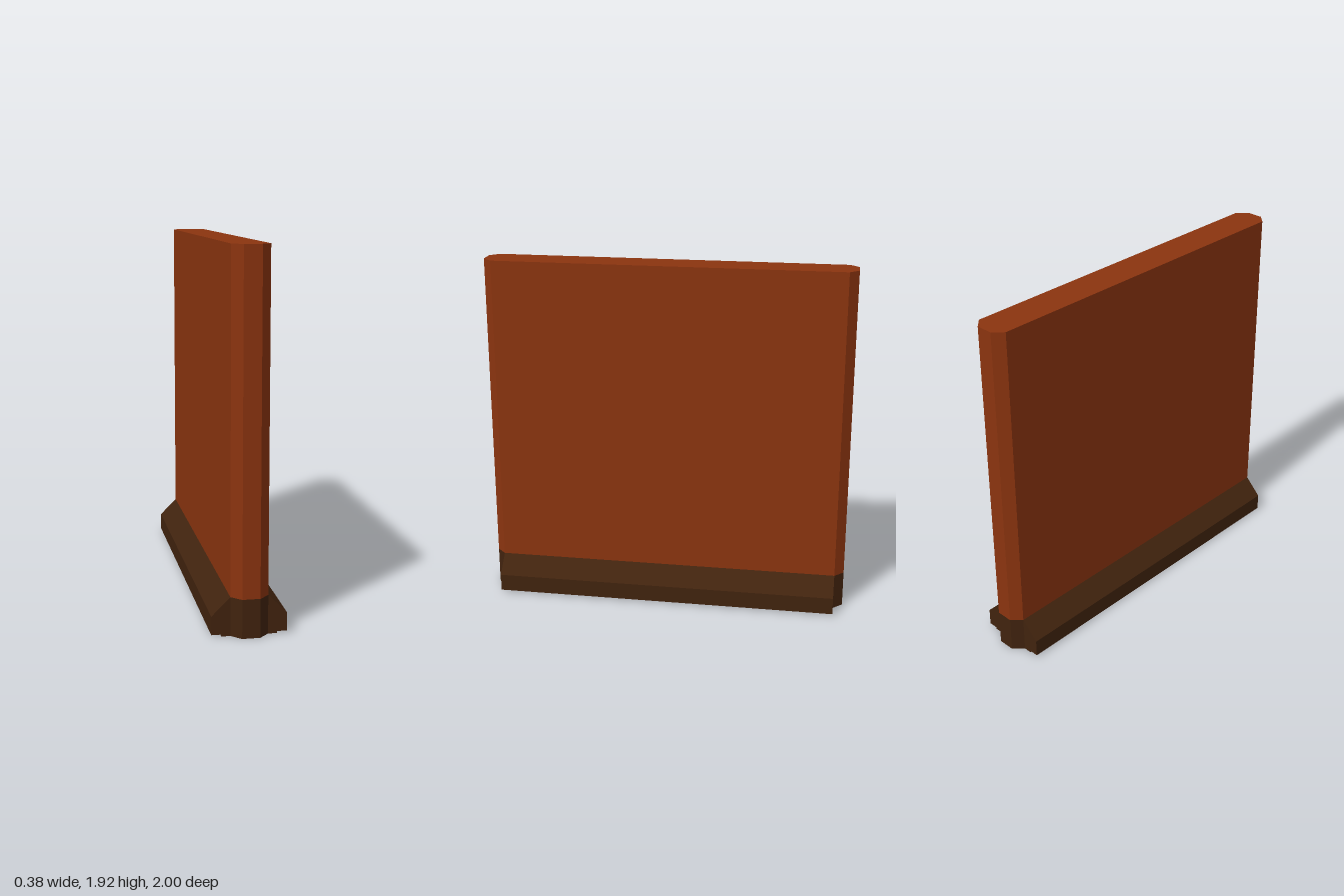
import * as THREE from 'three';

const HALF_T = 0.095, HALF_L = 1, CHAMFER = 0.05;
const BASE_TOP = 0.2, TOP = 1.915;

function shapeFrom(points) {
  return new THREE.Shape(points.map(([x, y]) => new THREE.Vector2(x, y)));
}

// Chamfered wall footprint raised from y0 to y1
function wallSection(y0, y1) {
  const t = HALF_T, l = HALF_L, c = CHAMFER;
  const shape = shapeFrom([
    [t, -l + c], [t, l - c], [t - c, l], [-t + c, l],
    [-t, l - c], [-t, -l + c], [-t + c, -l], [t - c, -l],
  ]);
  const geo = new THREE.ExtrudeGeometry(shape, { depth: y1 - y0, bevelEnabled: false });
  return geo.rotateX(-Math.PI / 2).translate(0, y0, 0);
}

// Sloped skirting profile run along the length of the wall
function skirtingGeometry() {
  const half = [[0.14, 0], [0.14, 0.01], [0.19, 0.01], [0.19, 0.105], [HALF_T, BASE_TOP]];
  const mirrored = half.map(([x, y]) => [-x, y]).reverse();
  const length = 2 * (HALF_L - CHAMFER);
  const geo = new THREE.ExtrudeGeometry(shapeFrom([...half, ...mirrored]), { depth: length, bevelEnabled: false });
  return geo.translate(0, 0, -length / 2);
}

export function createModel() {
  const panelColour = new THREE.MeshStandardMaterial({ color: 0x8b340f });
  panelColour.name = 'rust brown';
  const baseColour = new THREE.MeshStandardMaterial({ color: 0x41230e });
  baseColour.name = 'dark brown';

  const group = new THREE.Group();
  group.name = 'wall';
  const add = (name, geometry, material) => {
    const mesh = new THREE.Mesh(geometry, material);
    mesh.name = name;
    group.add(mesh);
  };

  add('wallPanel', wallSection(BASE_TOP, TOP), panelColour);
  add('wallFoot', wallSection(0, BASE_TOP), baseColour);
  add('skirting', skirtingGeometry(), baseColour);
  return group;
}
